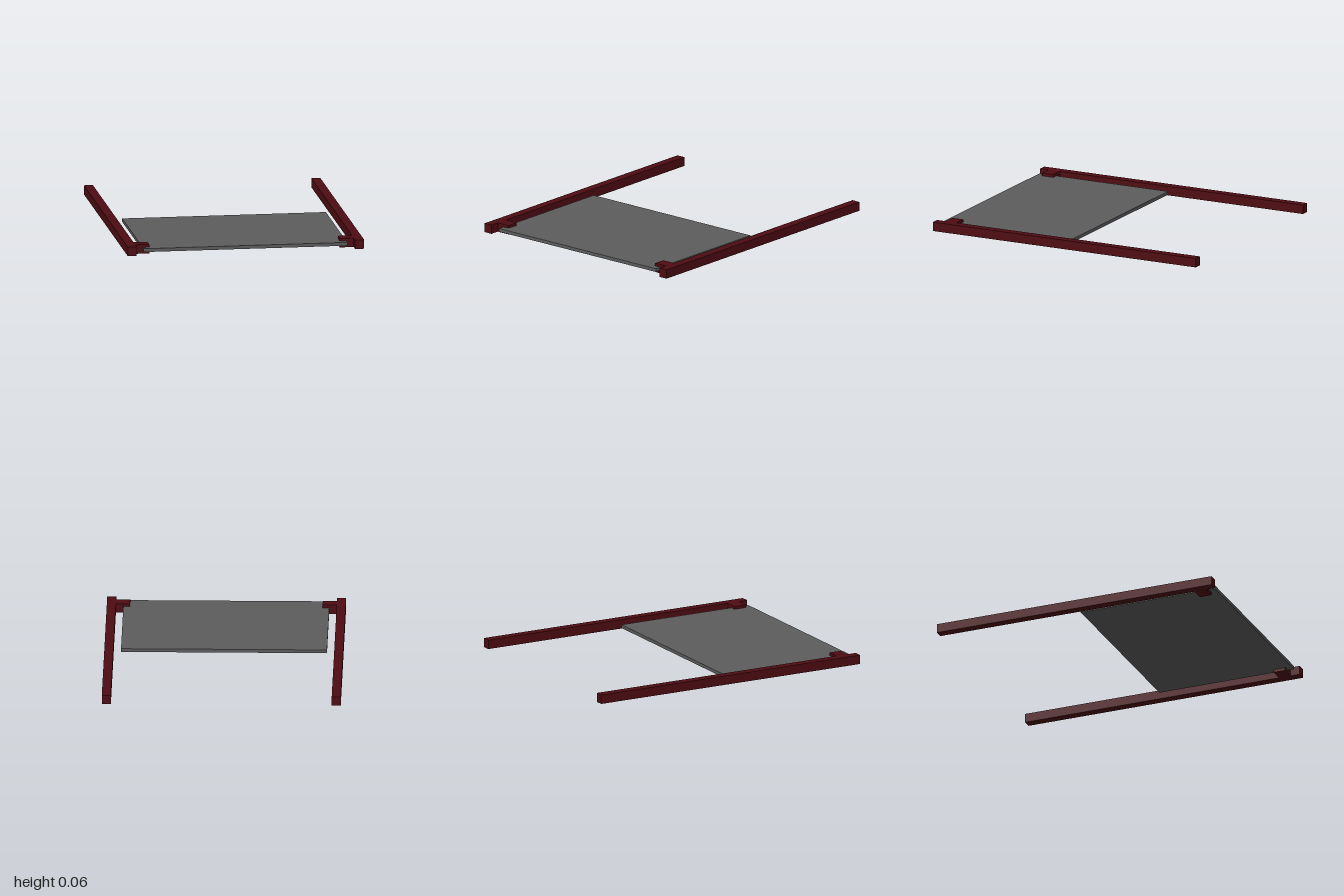
import * as THREE from 'three';

const RED = new THREE.MeshStandardMaterial({ color: 0x4d0c12 });
const GREY = new THREE.MeshStandardMaterial({ color: 0x5c5c5c });

// Box given by its minimum and maximum corners
function box(name, min, max, material) {
  const size = max.map((v, i) => v - min[i]);
  const mesh = new THREE.Mesh(new THREE.BoxGeometry(...size), material);
  mesh.position.set(...max.map((v, i) => (v + min[i]) / 2));
  mesh.name = name;
  return mesh;
}

export function createModel() {
  const model = new THREE.Group();
  model.name = 'slidingPanelFrame';

  // Thin flat panel held between the rails
  model.add(box('panel', [-0.693, 0.02, 0], [0.693, 0.043, 0.98], GREY));

  // A long rail with a clamp block gripping the panel, on each side
  for (const [side, s] of [['left', 1], ['right', -1]]) {
    const group = new THREE.Group();
    group.name = side + 'Side';
    const rail = box(side + 'Rail', [0.743, 0, -1], [0.804, 0.062, 1], RED);
    const clamp = box(side + 'Clamp', [0.648, 0, 0.85], [0.743, 0.062, 0.935], RED);
    for (const part of [rail, clamp]) {
      part.position.x *= s;
      group.add(part);
    }
    model.add(group);
  }
  return model;
}
